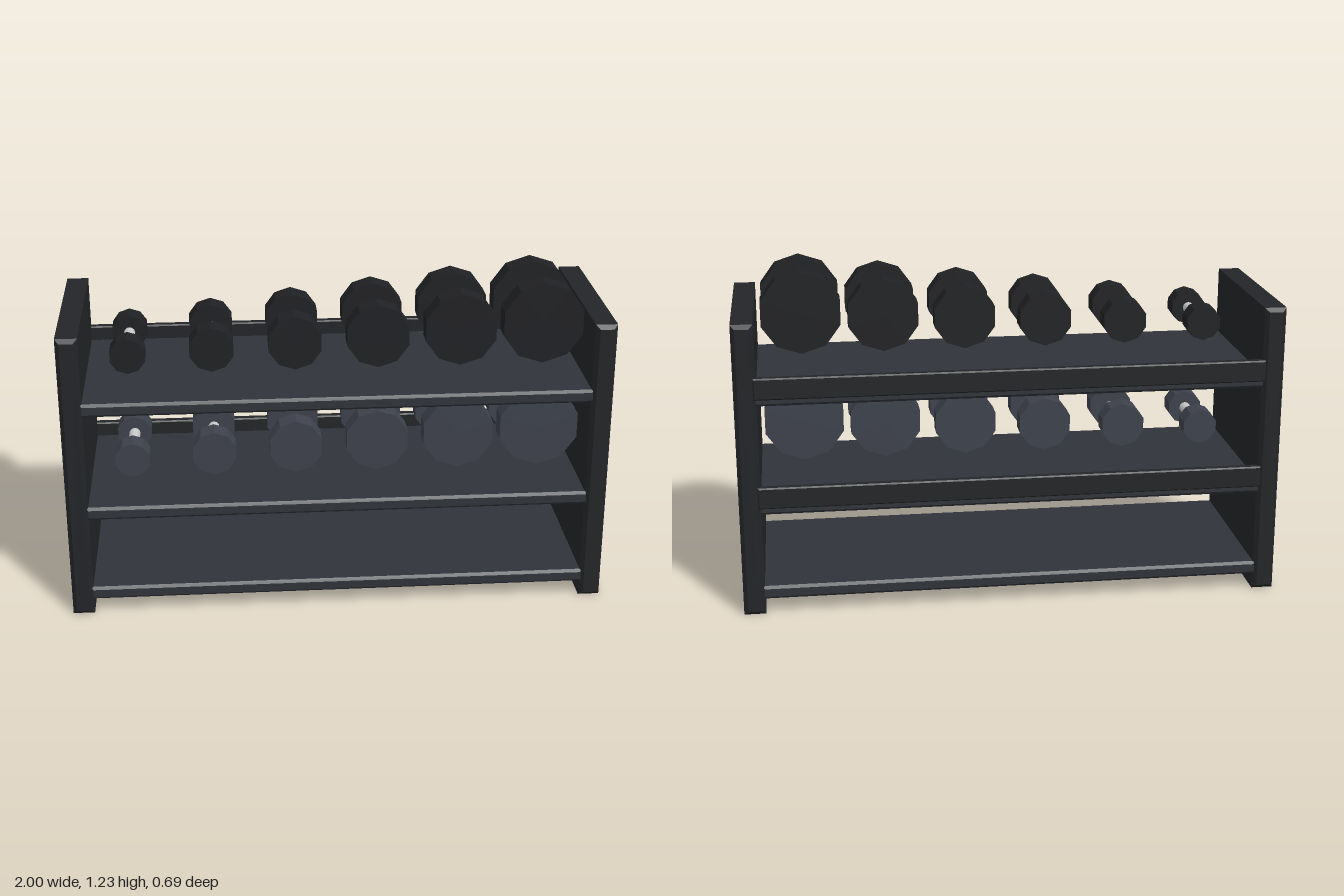
import * as THREE from 'three';

const material = (color) => new THREE.MeshStandardMaterial({ color, flatShading: true });

// Box with chamfered edges, centred on its own origin
function chamferedBox(w, h, d, c) {
  const x = w / 2 - c, y = h / 2 - c;
  const shape = new THREE.Shape([
    new THREE.Vector2(-x, -y), new THREE.Vector2(x, -y),
    new THREE.Vector2(x, y), new THREE.Vector2(-x, y),
  ]);
  const geometry = new THREE.ExtrudeGeometry(shape, {
    depth: d - 2 * c, bevelEnabled: true, bevelSegments: 1, bevelSize: c, bevelThickness: c,
  });
  return geometry.translate(0, 0, c - d / 2);
}

export function createModel() {
  const model = new THREE.Group();
  model.name = 'dumbbellRack';

  const frame = material(0x232528);
  const shelfGrey = material(0x30343a);
  const darkIron = material(0x202124);
  const paleIron = material(0x3e424c);
  const steel = material(0xcccccc);
  steel.flatShading = false;

  function add(parent, name, geometry, mat, x, y, z) {
    const mesh = new THREE.Mesh(geometry, mat);
    mesh.name = name;
    mesh.position.set(x, y, z);
    parent.add(mesh);
    return mesh;
  }

  // End panels
  const panel = chamferedBox(0.08, 1.1, 0.69, 0.015);
  add(model, 'leftPanel', panel, frame, 0.96, 0.55, 0);
  add(model, 'rightPanel', panel, frame, -0.96, 0.55, 0);

  // Three shelves; the upper two have a rail along the back
  const shelf = chamferedBox(1.86, 0.05, 0.68, 0.01);
  const rail = chamferedBox(1.86, 0.08, 0.032, 0.005);
  [['bottom', 0.085], ['middle', 0.415], ['top', 0.825]].forEach(([level, y], i) => {
    add(model, level + 'Shelf', shelf, shelfGrey, 0, y, 0);
    if (i > 0) add(model, level + 'BackRail', rail, frame, 0, y + 0.04, -0.331);
  });

  // Dumbbells grow from the right end to the left end
  const handle = new THREE.CylinderGeometry(0.021, 0.021, 0.18, 12).rotateX(Math.PI / 2);
  function dumbbellRow(name, base, iron, lowerBar) {
    const row = new THREE.Group();
    row.name = name;
    for (let i = 0; i < 6; i++) {
      const radius = 0.066 + 0.0173 * i;
      const dumbbell = new THREE.Group();
      dumbbell.name = 'dumbbell' + (i + 1);
      dumbbell.position.set(-0.755 + 0.3015 * i, base + radius, 0.07);
      const head = new THREE.CylinderGeometry(radius, radius, 0.081, 10).rotateX(Math.PI / 2);
      add(dumbbell, 'frontHead', head, iron, 0, 0, 0.125);
      add(dumbbell, 'backHead', head, iron, 0, 0, -0.125);
      add(dumbbell, 'handle', handle, steel, 0, 0, 0);
      if (lowerBar) add(dumbbell, 'supportBar', handle, steel, 0, 0.014 - radius, 0);
      row.add(dumbbell);
    }
    model.add(row);
  }
  dumbbellRow('topDumbbells', 0.923, darkIron, true);
  dumbbellRow('middleDumbbells', 0.514, paleIron, false);

  return model;
}
